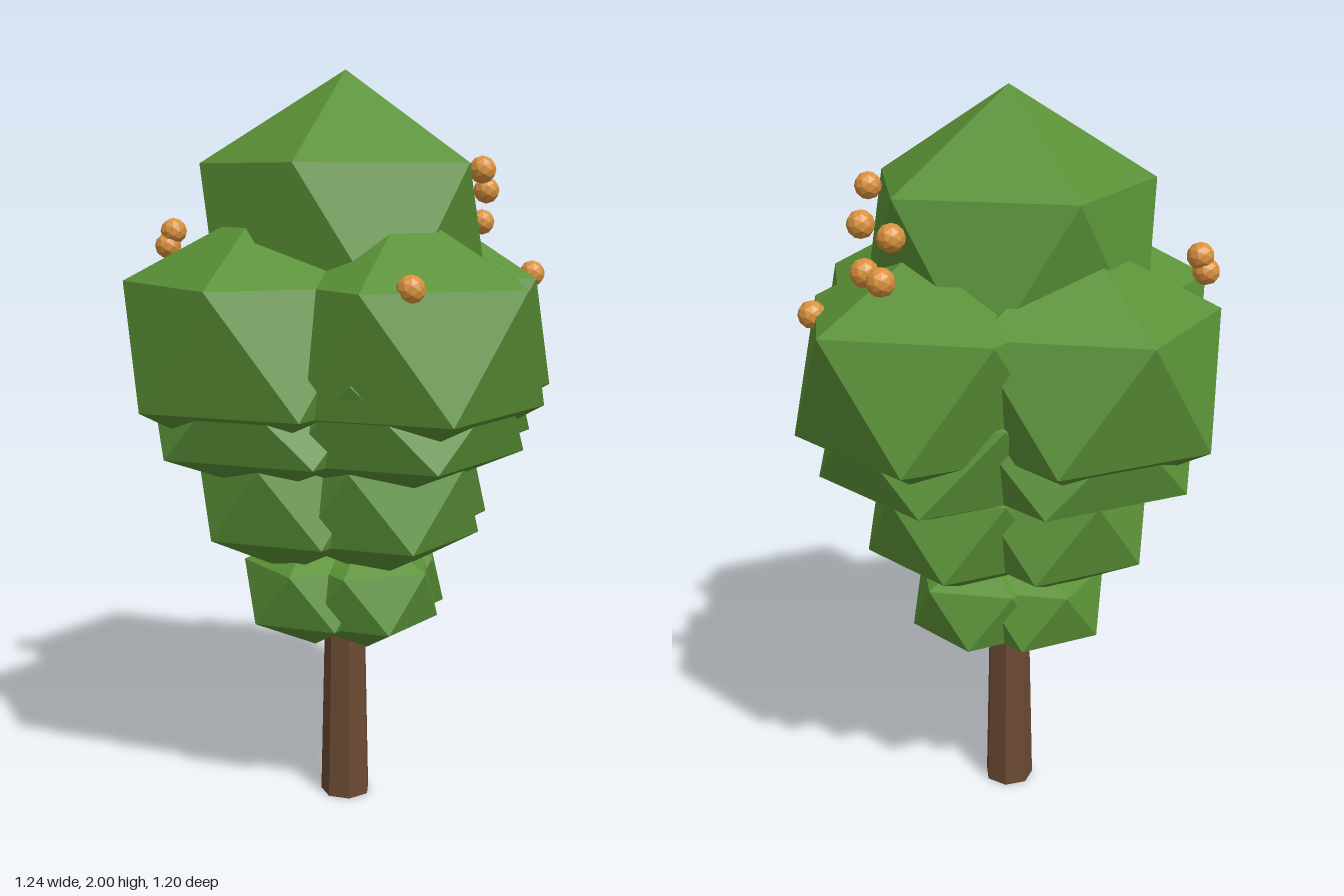
import * as THREE from 'three';

export function createModel() {
  const tree = new THREE.Group();
  tree.name = 'tree';

  const material = (name, color) => {
    const m = new THREE.MeshStandardMaterial({ color, flatShading: true });
    m.name = name;
    return m;
  };
  const leafGreen = material('leaf green', 0x5a9136);
  const barkBrown = material('bark brown', 0x6b4a33);
  const fruitOrange = material('fruit orange', 0xd9913c);

  const add = (parent, name, geometry, mat, x, y, z) => {
    const mesh = new THREE.Mesh(geometry, mat);
    mesh.name = name;
    mesh.position.set(x, y, z);
    parent.add(mesh);
    return mesh;
  };

  // Tapered seven-sided trunk
  const trunkHeight = 1;
  add(tree, 'trunk', new THREE.CylinderGeometry(0.047, 0.07, trunkHeight, 7),
    barkBrown, 0, trunkHeight / 2, 0).rotation.y = Math.PI;

  // Leaf clump: an icosahedron standing on one corner
  const golden = (1 + Math.sqrt(5)) / 2;
  const clump = new THREE.IcosahedronGeometry(1, 0);
  clump.rotateZ(-Math.atan(1 / golden));

  const crown = new THREE.Group();
  crown.name = 'crown';
  tree.add(crown);
  add(crown, 'crownTop', clump, leafGreen, 0, 1.569, 0).scale.setScalar(0.431);

  // Tiers of four clumps, from top to bottom
  const tiers = [
    { y: 1.31, offset: 0.26, radius: 0.402, height: 0.347 },
    { y: 1.137, offset: 0.215, radius: 0.38, height: 0.24 },
    { y: 0.903, offset: 0.165, radius: 0.29, height: 0.23 },
    { y: 0.625, offset: 0.102, radius: 0.215, height: 0.168 },
  ];
  tiers.forEach(({ y, offset, radius, height }, i) => {
    const tier = new THREE.Group();
    tier.name = `leafTier${i + 1}`;
    crown.add(tier);
    for (const [dx, dz] of [[1, 0], [0, 1], [-1, 0], [0, -1]]) {
      add(tier, 'leafClump', clump, leafGreen, dx * offset, y, dz * offset)
        .scale.set(radius, height, radius);
    }
  });

  // Small fruits scattered over the crown
  const fruits = new THREE.Group();
  fruits.name = 'fruits';
  tree.add(fruits);
  const fruit = new THREE.IcosahedronGeometry(0.036, 1);
  const spots = [
    [0.245, 1.745, 0.265], [0.4, 1.69, 0.1], [0.42, 1.68, -0.04],
    [0.475, 1.6, -0.005], [0.475, 1.588, -0.065], [0.493, 1.465, 0.19],
    [-0.163, 1.472, 0.5], [-0.312, 1.58, -0.38], [-0.325, 1.54, -0.39],
  ];
  for (const [x, y, z] of spots) add(fruits, 'fruit', fruit, fruitOrange, x, y, z);

  return tree;
}
